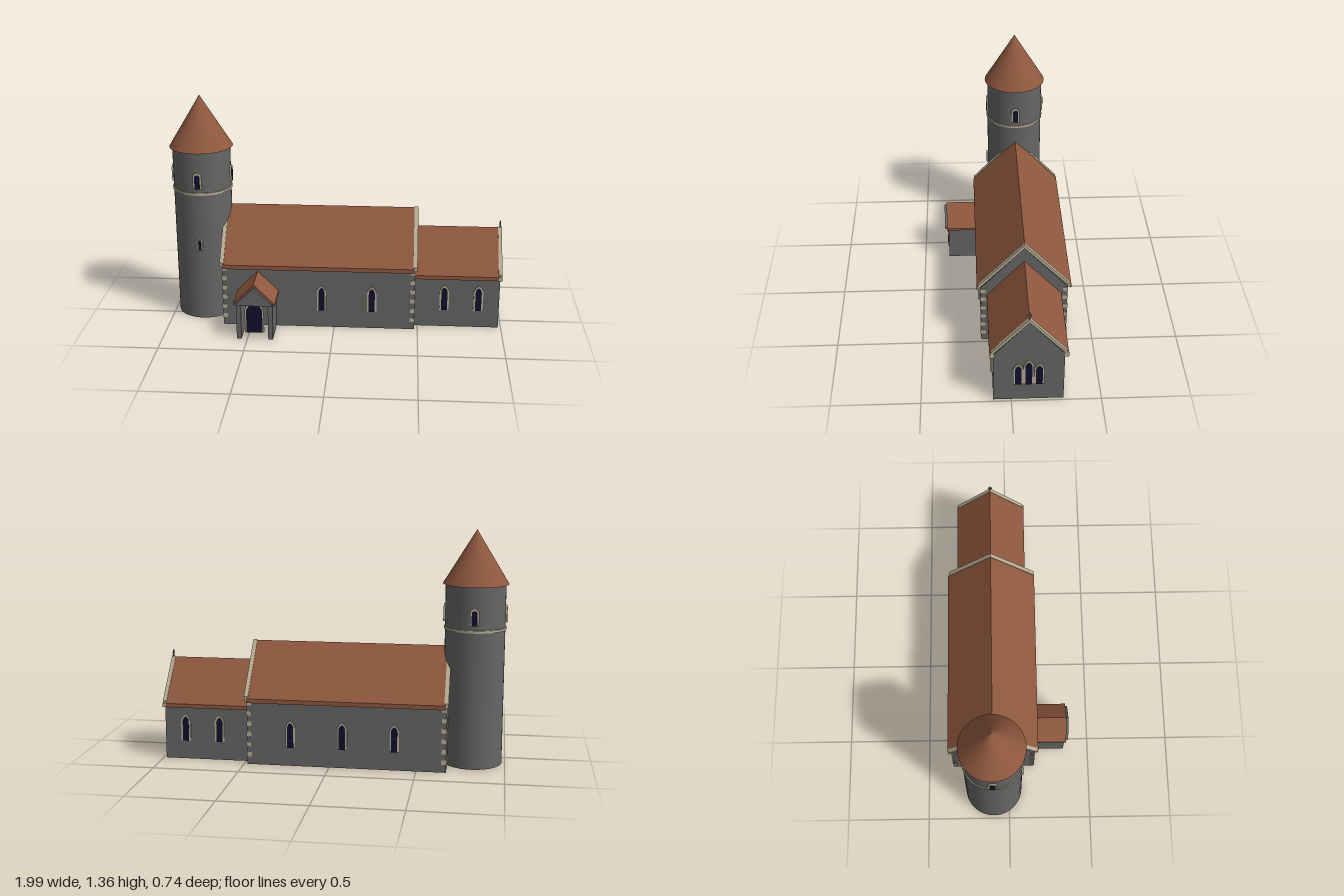
import * as THREE from 'three';

const mat = (name, color, side = THREE.FrontSide) => {
  const m = new THREE.MeshStandardMaterial({ color, side });
  m.name = name;
  return m;
};

export function createModel() {
  const wall = mat('grey stone', 0x666666);
  const roof = mat('clay tile', 0x8f583e);
  const trim = mat('pale dressed stone', 0xb8ae94);
  const glass = mat('dark glass', 0x12102e);

  const model = new THREE.Group();
  model.name = 'church';
  const AXIS = -0.095; // z of the main ridge

  function add(name, geometry, material, x = 0, y = 0, z = 0, parent = model) {
    const m = new THREE.Mesh(geometry, material);
    m.name = name;
    m.position.set(x, y, z);
    parent.add(m);
    return m;
  }
  const box = (name, w, h, d, material, x, y, z, parent) =>
    add(name, new THREE.BoxGeometry(w, h, d), material, x, y, z, parent);

  const extrude = (points, depth) => new THREE.ExtrudeGeometry(
    new THREE.Shape(points.map(([x, y]) => new THREE.Vector2(x, y))),
    { depth, bevelEnabled: false });

  // Cross-sections: solid gable and hollow pitched roof
  const gable = (half, eave, ridge, base = 0) =>
    [[-half, base], [half, base], [half, eave], [0, ridge], [-half, eave]];
  const chevron = (half, low, high, ridge) => [[half, low], [half, high], [0, ridge],
    [-half, high], [-half, low], [0, ridge - (high - low)]];

  // Extrude a cross-section along x about the main axis
  function alongX(name, points, x0, x1, material) {
    const g = extrude(points, x1 - x0);
    g.rotateY(Math.PI / 2);
    return add(name, g, material, x0, 0, AXIS);
  }

  // Arched opening: stone surround with a dark pane set on it
  function arch(w, h, pointed) {
    const s = new THREE.Shape(), r = w / 2;
    const spring = pointed ? h - w * 0.85 : h - r;
    s.moveTo(-r, 0);
    s.lineTo(r, 0);
    s.lineTo(r, spring);
    if (pointed) {
      s.quadraticCurveTo(r, spring + (h - spring) * 0.6, 0, h);
      s.quadraticCurveTo(-r, spring + (h - spring) * 0.6, -r, spring);
    } else {
      s.absarc(0, spring, r, 0, Math.PI, false);
    }
    s.closePath();
    return s;
  }
  function opening(name, w, h, x, y, z, angle, { pointed = true, border = 0.01 } = {}) {
    const g = new THREE.Group();
    g.name = name;
    const solid = (shape, depth) =>
      new THREE.ExtrudeGeometry(shape, { depth, bevelEnabled: false, curveSegments: 8 });
    add('surround', solid(arch(w, h, pointed), 0.011), trim, 0, 0, -0.003, g);
    add('pane', solid(arch(w - 2 * border, h - border * 1.3, pointed), 0.003), glass, 0, 0, 0.007, g);
    g.position.set(x, y, z);
    g.rotation.y = angle;
    model.add(g);
  }

  // Nave
  alongX('naveWalls', gable(0.25, 0.385, 0.66), -0.67, 0.48, wall);
  alongX('naveRoof', chevron(0.272, 0.37, 0.395, 0.688), -0.665, 0.475, roof);
  for (const x of [-0.68, 0.468])
    alongX('naveCoping', chevron(0.268, 0.382, 0.407, 0.693), x, x + 0.024, trim);

  // Chancel
  alongX('chancelWalls', gable(0.195, 0.325, 0.545), 0.47, 0.984, wall);
  alongX('chancelRoof', chevron(0.215, 0.312, 0.335, 0.572), 0.48, 0.978, roof);
  alongX('chancelCoping', chevron(0.208, 0.325, 0.348, 0.576), 0.972, 0.994, trim);
  for (const s of [-1, 1]) {
    box('chancelKneeler', 0.022, 0.026, 0.028, trim, 0.983, 0.325, AXIS + s * 0.202);
  }

  // Gable cross
  box('crossUpright', 0.007, 0.045, 0.007, wall, 0.984, 0.59, AXIS);
  box('crossArm', 0.007, 0.007, 0.024, wall, 0.984, 0.596, AXIS);

  // Quoins on the four nave corners
  for (const [cx, dx] of [[-0.67, 1], [0.48, -1]])
    for (const s of [-1, 1])
      for (let i = 0; i < 6; i++) {
        box('quoin', 0.03, 0.026, 0.03, trim,
          cx + dx * 0.012, 0.06 + i * 0.061, AXIS + s * 0.238);
      }

  // Side windows
  const south = AXIS + 0.25, north = AXIS - 0.25;
  for (const x of [-0.075, 0.225]) opening('naveWindow', 0.056, 0.16, x, 0.11, south, 0);
  for (const x of [-0.375, -0.075, 0.225]) opening('naveWindow', 0.056, 0.16, x, 0.11, north, Math.PI);
  for (const x of [0.657, 0.86]) {
    opening('chancelWindow', 0.056, 0.16, x, 0.11, AXIS + 0.195, 0);
    opening('chancelWindow', 0.056, 0.16, x, 0.11, AXIS - 0.195, Math.PI);
  }

  // East triple lancet
  for (const i of [-1, 0, 1])
    opening('eastWindow', 0.057, i ? 0.145 : 0.17, 0.984, 0.115, AXIS + i * 0.058, Math.PI / 2);

  // Round tower
  const TX = -0.81, R = 0.172;
  add('towerWall', new THREE.CylinderGeometry(R, R, 1.056, 48), wall, TX, 0.528, AXIS);
  add('towerBand', new THREE.CylinderGeometry(R + 0.006, R + 0.006, 0.014, 48), trim, TX, 0.8, AXIS);
  add('towerRoof', new THREE.ConeGeometry(0.188, 0.308, 48), roof, TX, 1.206, AXIS);
  for (let i = 0; i < 4; i++) {
    const a = i * Math.PI / 2;
    opening('belfryWindow', 0.052, 0.098, TX + Math.sin(a) * R, 0.835, AXIS + Math.cos(a) * R, a,
      { pointed: false });
  }
  opening('towerSlit', 0.034, 0.075, TX, 0.447, AXIS + R, 0, { pointed: false, border: 0.008 });

  // South porch
  const PX = -0.455;
  for (const s of [-1, 1])
    box('porchWall', 0.028, 0.235, 0.195, wall, PX + s * 0.093, 0.1175, 0.2475);
  add('porchRoof', extrude(chevron(0.122, 0.216, 0.23, 0.352), 0.205), roof, PX, 0, 0.15);
  add('porchGable', extrude(gable(0.107, 0.23, 0.335, 0.222), 0.024), wall, PX, 0, 0.344);
  opening('porchDoor', 0.112, 0.19, PX, 0.045, 0.342, 0, { pointed: false, border: 0.009 });

  return model;
}
